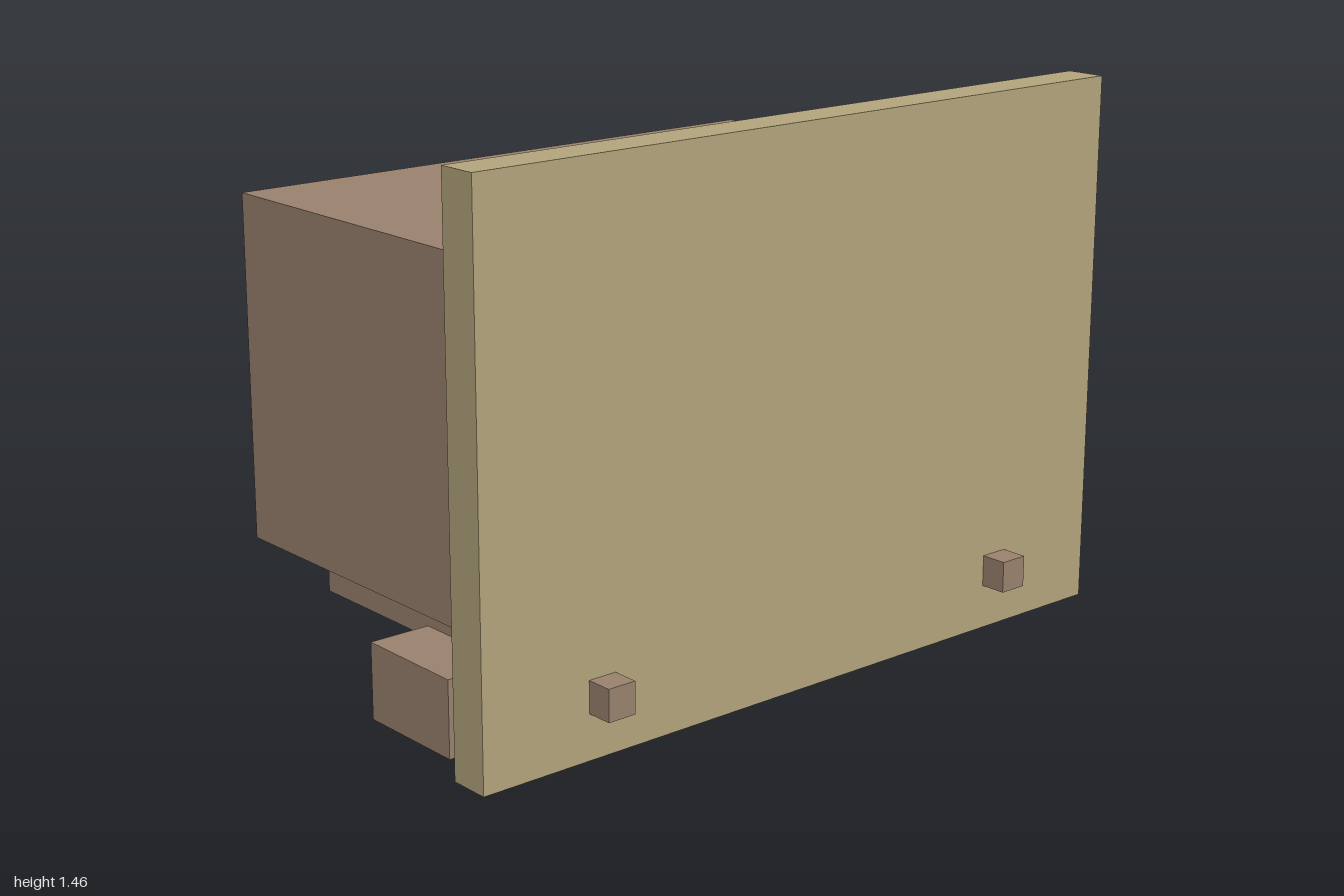
import * as THREE from 'three';

export function createModel() {
  const model = new THREE.Group();
  const khaki = new THREE.MeshStandardMaterial({ color: 0xb4a67e });
  khaki.name = 'khaki';
  const brown = new THREE.MeshStandardMaterial({ color: 0x9b836f });
  brown.name = 'brown';

  // Adds a block spanning the given [min, max] ranges
  function block(name, material, [x0, x1], [y0, y1], [z0, z1]) {
    const mesh = new THREE.Mesh(new THREE.BoxGeometry(x1 - x0, y1 - y0, z1 - z0), material);
    mesh.position.set((x0 + x1) / 2, (y0 + y1) / 2, (z0 + z1) / 2);
    mesh.name = name;
    model.add(mesh);
  }

  // Upright front board and the large body behind it
  block('frontPanel', khaki, [-1, 1], [0.054, 1.462], [0.463, 0.571]);
  block('body', brown, [-0.819, 0.815], [0.305, 1.21], [-0.64, 0.463]);

  // Cross beam on the ground
  block('crossBeam', brown, [-0.866, 0.862], [0, 0.201], [-0.059, 0.257]);

  // Two rails resting in the beam and poking through the front board
  for (const [name, x] of [['leftRail', 0.654], ['rightRail', -0.658]]) {
    block(name, brown, [x - 0.039, x + 0.039], [0.17, 0.252], [-0.496, 0.641]);
  }

  return model;
}
